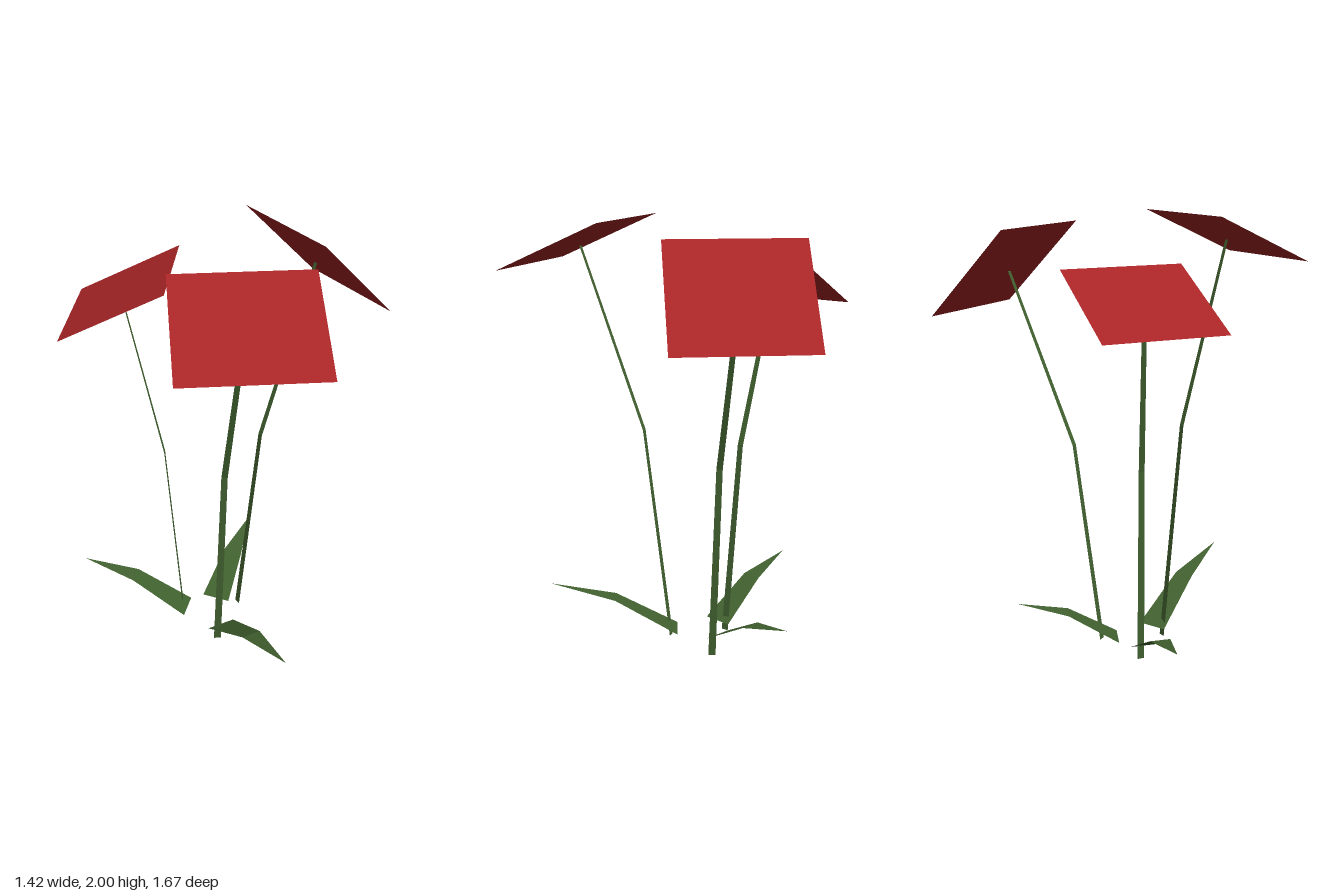
import * as THREE from 'three';

const red = new THREE.MeshStandardMaterial({ color: 0xa92527, side: THREE.DoubleSide, flatShading: true });
red.name = 'petal red';
const green = new THREE.MeshStandardMaterial({ color: 0x426230, side: THREE.DoubleSide, flatShading: true });
green.name = 'leaf green';

// Flat strip along a path, widened to both sides along a horizontal direction [x, z]
function ribbon(name, path, widths, [sx, sz], material) {
  const side = new THREE.Vector3(sx, 0, sz).normalize();
  const rows = path.map((p, i) => {
    const c = new THREE.Vector3(...p);
    return [c.clone().addScaledVector(side, -widths[i] / 2), c.clone().addScaledVector(side, widths[i] / 2)];
  });
  const points = [];
  for (let i = 0; i < rows.length - 1; i++) {
    const [a, b] = rows[i], [d, c] = rows[i + 1];
    points.push(a, b, c);
    if (widths[i + 1] > 0) points.push(a, c, d);
  }
  const geometry = new THREE.BufferGeometry().setFromPoints(points);
  geometry.computeVertexNormals();
  const mesh = new THREE.Mesh(geometry, material);
  mesh.name = name;
  return mesh;
}

// Each plant: a square bloom, a bent stem and a pointed leaf
const plants = [
  {
    name: 'frontFlower',
    bloom: [[0.135, 2, 0.277], [0.26, 1.78, 0.76]], size: 0.588, across: [0.968, -0.25],
    stem: [[0.013, 0, 0.15], [0.065, 1.03, 0.26], [0.185, 1.87, 0.517]],
    leaf: [[0.022, 0.05, 0.103], [0.205, 0.217, 0.335], [0.395, 0.29, 0.575]], leafAcross: [0.786, -0.617],
  },
  {
    name: 'rightFlower',
    bloom: [[-0.23, 1.815, -0.125], [-0.688, 1.585, -0.085]], size: 0.542, across: [0.085, 0.996],
    stem: [[-0.19, 0, -0.025], [-0.27, 0.93, -0.05], [-0.452, 1.685, -0.1]],
    leaf: [[-0.165, 0.05, 0.002], [-0.43, 0.203, -0.016], [-0.69, 0.26, -0.033]], leafAcross: [-0.07, 0.998],
  },
  {
    name: 'backFlower',
    bloom: [[0.22, 1.955, -0.3575], [0.51, 1.56, -0.6225]], size: 0.591, across: [0.677, 0.736],
    stem: [[0.066, 0, -0.136], [0.152, 0.955, -0.237], [0.355, 1.742, -0.475]],
    leaf: [[-0.037, 0.05, -0.088], [0.014, 0.185, -0.315], [0.06, 0.24, -0.545]], leafAcross: [0.977, 0.212],
  },
];

export function createModel() {
  const model = new THREE.Group();
  model.name = 'flowers';
  for (const p of plants) {
    const plant = new THREE.Group();
    plant.name = p.name;
    plant.add(
      ribbon('bloom', p.bloom, [p.size, p.size], p.across, red),
      ribbon('stem', p.stem, [0.034, 0.028, 0.021], p.across, green),
      ribbon('leaf', p.leaf, [0.137, 0.092, 0], p.leafAcross, green),
    );
    model.add(plant);
  }
  return model;
}
